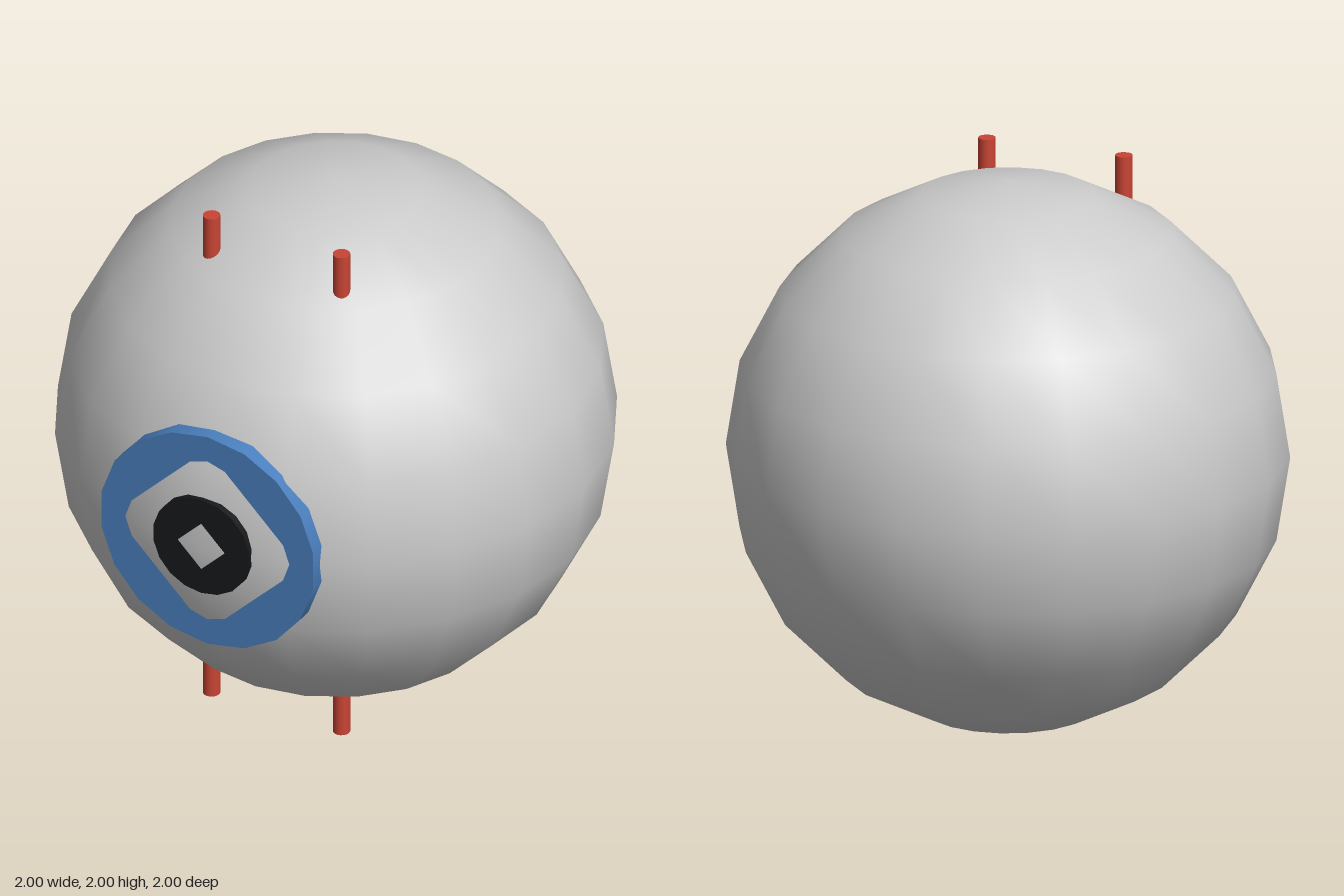
import * as THREE from 'three';

const grey = new THREE.MeshStandardMaterial({ color: 0xcccccc });
const blue = new THREE.MeshStandardMaterial({ color: 0x4a7fbd });
const black = new THREE.MeshStandardMaterial({ color: 0x17181a });
const red = new THREE.MeshStandardMaterial({ color: 0xc94434 });

export function createModel() {
  const model = new THREE.Group();
  model.name = 'eyeball';

  const add = (name, geometry, material) => {
    const mesh = new THREE.Mesh(geometry, material);
    mesh.name = name;
    model.add(mesh);
    return mesh;
  };

  // Body: coarse smooth-shaded sphere whose front facets poke through the discs
  add('body', new THREE.SphereGeometry(1, 20, 10), grey).position.y = 1;

  // Eye discs facing +z, with a corner at the top
  const disc = (name, radius, back, front, material) => {
    const geometry = new THREE.CylinderGeometry(radius, radius, front - back, 18);
    geometry.rotateX(Math.PI / 2).rotateZ(Math.PI);
    add(name, geometry, material).position.set(0, 1, (front + back) / 2);
  };
  disc('iris', 0.433, 0.84, 0.94, blue);
  disc('pupil', 0.195, 0.94, 0.985, black);

  // Upright pegs: a pair on top and a pair underneath
  const pegHeight = 0.22;
  for (const side of [1, -1]) {
    for (const [level, y] of [['upper', 2 - pegHeight / 2], ['lower', pegHeight / 2]]) {
      const name = level + (side > 0 ? 'LeftPeg' : 'RightPeg');
      const geometry = new THREE.CylinderGeometry(0.031, 0.031, pegHeight, 18);
      add(name, geometry, red).position.set(side * 0.262, y, 0.434);
    }
  }

  return model;
}
